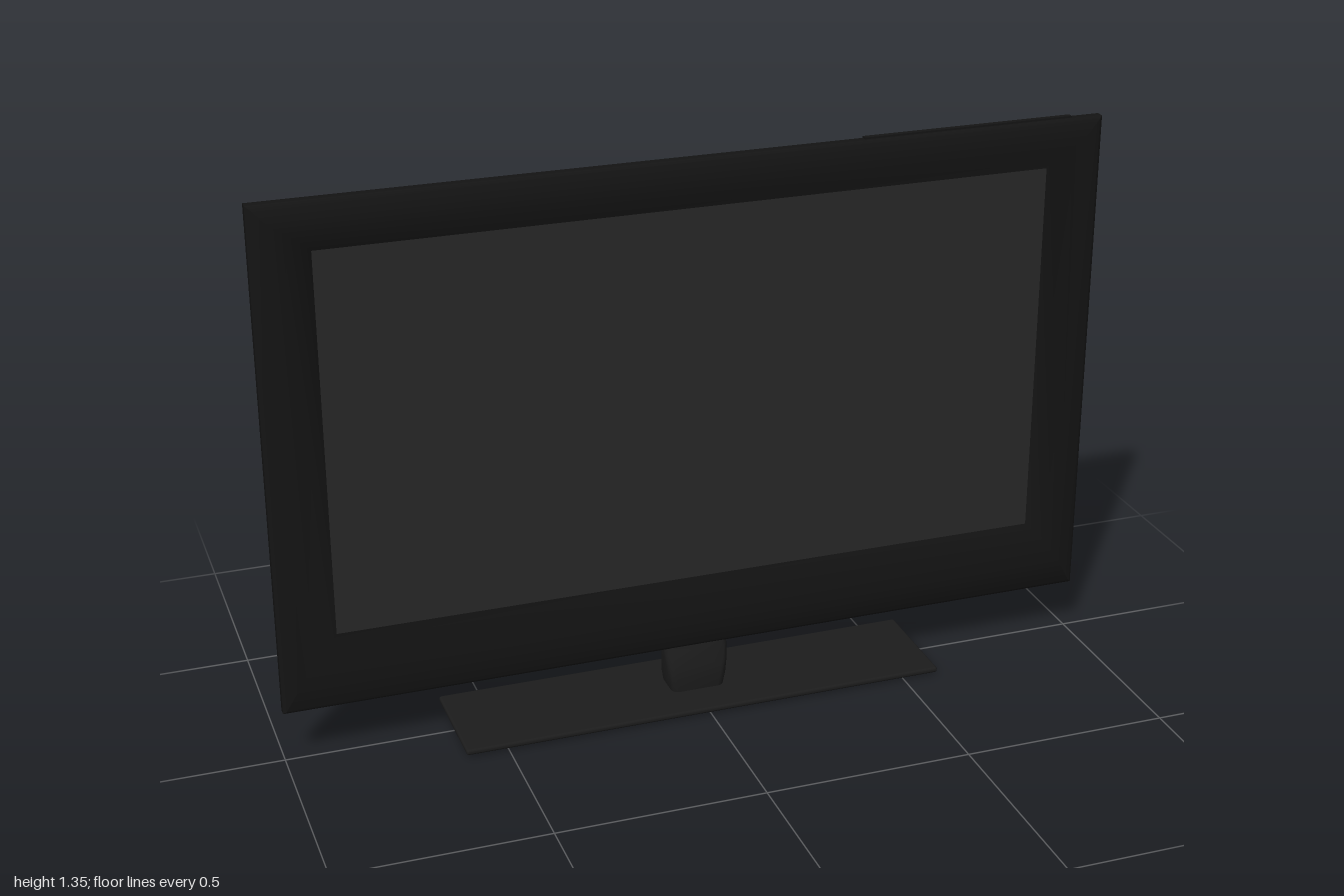
import * as THREE from 'three';
import { toCreasedNormals } from 'three/addons/utils/BufferGeometryUtils.js';
import { RoundedBoxGeometry } from 'three/addons/geometries/RoundedBoxGeometry.js';

const material = (color) => new THREE.MeshStandardMaterial({ color });

// Skins a list of equal-length rings, with optional end caps
function loft(rings, capStart, capEnd, crease) {
  const n = rings[0].length, index = [];
  for (let r = 0; r < rings.length - 1; r++) {
    for (let i = 0; i < n; i++) {
      const a = r * n + i, b = r * n + (i + 1) % n;
      index.push(a, b, b + n, a, b + n, a + n);
    }
  }
  const last = (rings.length - 1) * n;
  for (let i = 1; i < n - 1; i++) {
    if (capStart) index.push(0, i + 1, i);
    if (capEnd) index.push(last, last + i, last + i + 1);
  }
  const geometry = new THREE.BufferGeometry();
  geometry.setAttribute('position', new THREE.Float32BufferAttribute(rings.flat(2), 3));
  geometry.setIndex(index);
  return toCreasedNormals(geometry, crease);
}

// Rectangle facing +z: half width, bottom, top, depth
const rectRing = ([x, y0, y1, z]) => [[-x, y0, z], [x, y0, z], [x, y1, z], [-x, y1, z]];

// Rounded rectangle lying flat: height, half width, back z, front z
function flatRing([y, hw, back, front]) {
  const cz = (back + front) / 2, hz = (front - back) / 2;
  const r = Math.min(0.018, hz * 0.8), ring = [];
  for (let c = 0; c < 4; c++) {
    const sx = c === 0 || c === 3 ? 1 : -1, sz = c < 2 ? -1 : 1;
    for (let k = 0; k <= 4; k++) {
      const t = (c + k / 4) * Math.PI / 2;
      ring.push([sx * (hw - r) + r * Math.cos(t), y, cz + sz * (hz - r) - r * Math.sin(t)]);
    }
  }
  return ring;
}

export function createModel() {
  const group = new THREE.Group();
  const black = material(0x141414), dark = material(0x1c1c1c), glass = material(0x282828);
  const add = (name, geometry, mat, x = 0, y = 0, z = 0) => {
    const mesh = new THREE.Mesh(geometry, mat);
    mesh.name = name;
    mesh.position.set(x, y, z);
    group.add(mesh);
  };

  // Housing: from the raised back panel round the rim and into the screen opening
  const housing = [
    [0.87, 0.31, 1.24, -0.034],
    [0.89, 0.295, 1.255, -0.032],
    [0.93, 0.265, 1.285, -0.022],
    [0.985, 0.145, 1.34, -0.014],
    [0.996, 0.136, 1.347, -0.008],
    [1.0, 0.133, 1.35, 0.0],
    [1.0, 0.133, 1.35, 0.02],
    [0.992, 0.14, 1.344, 0.026],
    [0.955, 0.205, 1.305, 0.034],
    [0.925, 0.25, 1.285, 0.034],
    [0.885, 0.295, 1.255, 0.026],
    [0.865, 0.315, 1.235, 0.018],
  ].map(rectRing);
  add('housing', loft(housing, true, false, 0.6), black);

  // Screen
  add('screen', new THREE.PlaneGeometry(1.73, 0.92), glass, 0, 0.775, 0.018);

  // Control strip on the top edge
  add('controlStrip', new THREE.BoxGeometry(0.52, 0.008, 0.014), black, 0.665, 1.35, 0.006);

  // Neck, flaring backwards towards the base
  const neck = [
    [0, 0.062, -0.055, 0.036],
    [0.02, 0.066, -0.053, 0.038],
    [0.05, 0.072, -0.047, 0.039],
    [0.085, 0.076, -0.036, 0.037],
    [0.115, 0.079, -0.024, 0.027],
    [0.135, 0.08, -0.015, 0.02],
    [0.15, 0.08, -0.011, 0.016],
  ].map(flatRing);
  add('neck', loft(neck, true, true, 0.7), dark);

  // Base plate with softly rounded edges
  add('base', new RoundedBoxGeometry(1.19, 0.014, 0.27, 3, 0.006), dark, -0.007, 0.013, -0.002);

  return group;
}
